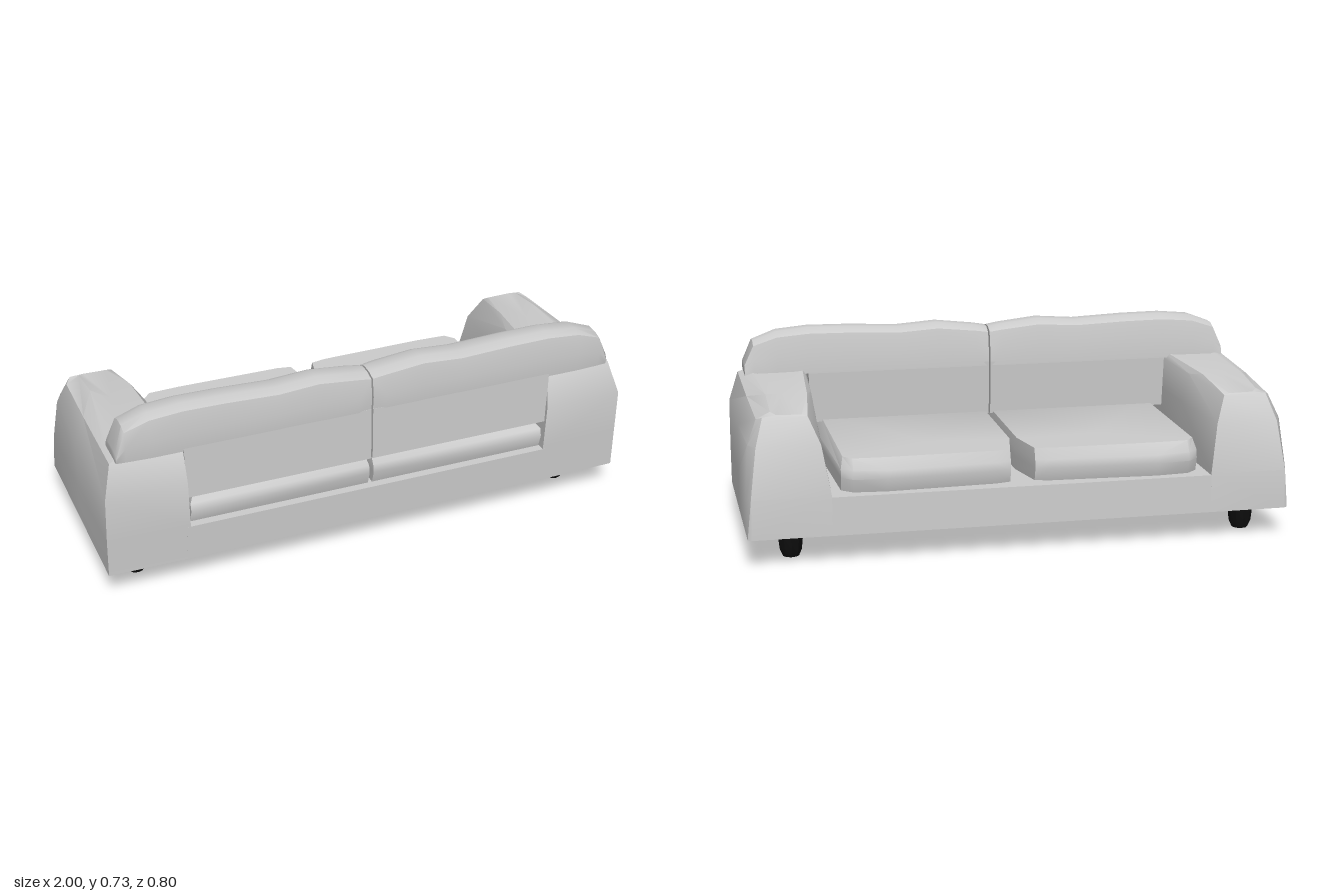
import * as THREE from 'three';
import { toCreasedNormals } from 'three/addons/utils/BufferGeometryUtils.js';

// Skin a stack of closed rings ([x, y, z] points) and cap both ends.
function loft(rings, side = 1, crease = 0.6) {
  const n = rings[0].length;
  const points = rings.flat().map(([x, y, z]) => new THREE.Vector3(x * side, y, z));
  const faces = [];
  for (let r = 0; r < rings.length - 1; r++) {
    for (let i = 0; i < n; i++) {
      const a = r * n + i, b = r * n + (i + 1) % n;
      faces.push([a, b, b + n], [a, b + n, a + n]);
    }
  }
  for (const [start, flip] of [[0, true], [(rings.length - 1) * n, false]]) {
    const centre = new THREE.Vector3();
    for (let i = 0; i < n; i++) centre.addScaledVector(points[start + i], 1 / n);
    const c = points.push(centre) - 1;
    for (let i = 0; i < n; i++) {
      const a = start + i, b = start + (i + 1) % n;
      faces.push(flip ? [c, b, a] : [c, a, b]);
    }
  }
  // Turn the faces outward when the enclosed volume comes out negative.
  const cross = new THREE.Vector3();
  let volume = 0;
  for (const [a, b, c] of faces) volume += points[a].dot(cross.crossVectors(points[b], points[c]));
  const index = faces.flatMap(([a, b, c]) => (volume < 0 ? [a, c, b] : [a, b, c]));
  const geometry = new THREE.BufferGeometry().setFromPoints(points);
  geometry.setIndex(index);
  return toCreasedNormals(geometry, crease);
}

// Horizontal ring from [x, z] pairs.
const level = (y, pairs) => pairs.map(([x, z]) => [x, y, z]);

export function createModel() {
  const sofa = new THREE.Group();
  sofa.name = 'sofa';
  const fabric = new THREE.MeshStandardMaterial({ color: 0xcccccc });
  fabric.name = 'light grey fabric';
  const legPaint = new THREE.MeshStandardMaterial({ color: 0x0f0f0f });
  legPaint.name = 'black legs';

  const add = (name, geometry, material = fabric) => {
    const mesh = new THREE.Mesh(geometry, material);
    mesh.name = name;
    sofa.add(mesh);
    return mesh;
  };

  // Seat base between the arms
  add('base', loft([
    level(0.105, [[-0.71, 0.39], [0.71, 0.39], [0.71, -0.4], [-0.71, -0.4]]),
    level(0.245, [[-0.71, 0.395], [0.71, 0.395], [0.71, -0.395], [-0.71, -0.395]]),
  ]));

  // Arm rings: inner back, outer back, outer middle, outer front,
  // front outer, front inner, inner middle
  const armRings = [
    level(0.105, [[0.69, 0.39], [1, 0.385], [1, 0], [1, -0.39], [0.985, -0.4], [0.7, -0.4], [0.69, 0]]),
    level(0.25, [[0.695, 0.395], [1, 0.39], [1, 0], [1, -0.355], [0.985, -0.397], [0.7, -0.395], [0.7, 0]]),
    level(0.43, [[0.7, 0.4], [0.998, 0.4], [0.995, 0], [0.985, -0.31], [0.96, -0.36], [0.73, -0.36], [0.705, 0]]),
    [[0.705, 0.55, 0.375], [0.965, 0.55, 0.36], [0.96, 0.535, 0], [0.95, 0.515, -0.28],
      [0.93, 0.526, -0.31], [0.77, 0.525, -0.31], [0.725, 0.545, -0.02]],
    [[0.72, 0.57, 0.36], [0.92, 0.566, 0.35], [0.9, 0.566, -0.12], [0.9, 0.54, -0.285],
      [0.88, 0.532, -0.305], [0.79, 0.53, -0.305], [0.75, 0.562, -0.12]],
  ];

  // Seat cushion rings, bulging at mid height
  const cushionBulge = [[0.008, 0.385], [0.008, -0.18], [0.045, -0.355], [0.1, -0.37],
    [0.5, -0.39], [0.62, -0.378], [0.66, -0.34], [0.688, 0.385]];
  const cushionTop = [[0.014, 0.33], [0.014, -0.18], [0.045, -0.335], [0.1, -0.345],
    [0.5, -0.35], [0.62, -0.345], [0.65, -0.31], [0.655, 0.33]];
  const cushionRings = [
    level(0.25, cushionBulge.map(([x, z]) => [x, z * 0.96])),
    level(0.3, cushionBulge),
    level(0.33, cushionBulge.map(([x, z]) => [x, z * 0.985])),
    level(0.37, cushionTop),
  ];

  // Back cushion roll: [x, top height, depth scale]
  const rollStations = [[0.003, 0.7, 0.96], [0.05, 0.708, 1], [0.2, 0.725, 1], [0.35, 0.714, 1],
    [0.55, 0.723, 1], [0.7, 0.725, 1], [0.82, 0.714, 1], [0.91, 0.68, 0.93], [0.945, 0.595, 0.88]];
  const rollProfile = [[0.24, 0], [0.242, 0.45], [0.256, 0.89], [0.292, 1],
    [0.342, 1], [0.38, 0.93], [0.391, 0.45], [0.384, 0]];
  const rollRings = rollStations.map(([x, top, depth]) => rollProfile.map(([z, t]) =>
    [x, 0.555 + t * (top - 0.555), 0.315 + (z - 0.315) * depth]));

  // Lower part of the back cushion, dropping between the arms
  const backRings = [
    level(0.362, [[0.003, 0.25], [0.7, 0.25], [0.7, 0.385], [0.003, 0.385]]),
    level(0.57, [[0.003, 0.242], [0.705, 0.242], [0.705, 0.385], [0.003, 0.385]]),
  ];

  // Leg profile
  const legProfile = [[0, 0], [0.03, 0], [0.041, 0.025], [0.05, 0.11], [0, 0.11]]
    .map(([r, y]) => new THREE.Vector2(r, y));
  const legGeometry = toCreasedNormals(new THREE.LatheGeometry(legProfile, 10), 0.5);

  for (const [side, label, legX] of [[1, 'left', 0.838], [-1, 'right', -0.862]]) {
    add(`${label} arm`, loft(armRings, side));
    add(`${label} seat cushion`, loft(cushionRings, side, 0.7));
    add(`${label} back cushion roll`, loft(rollRings, side, 0.8));
    add(`${label} back cushion panel`, loft(backRings, side));
    for (const z of [0.23, -0.26]) {
      add(`${label} ${z < 0 ? 'front' : 'rear'} leg`, legGeometry, legPaint).position.set(legX, 0, z);
    }
  }
  return sofa;
}
